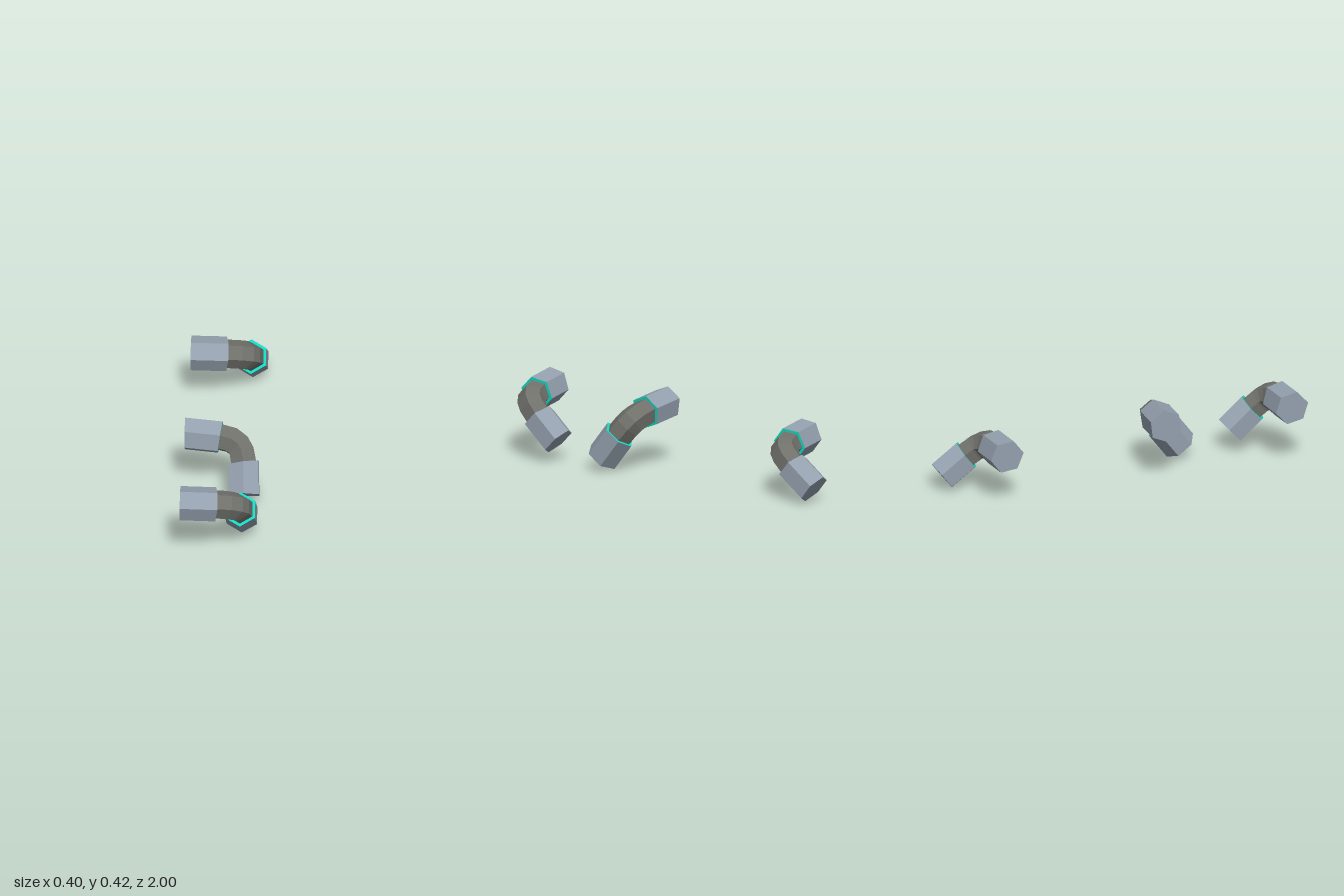
import * as THREE from 'three';

const PIPE = 0.0924, BEND = 0.076;
const material = (name, color) => {
  const m = new THREE.MeshStandardMaterial({ color, flatShading: true });
  m.name = name;
  return m;
};

// Hexagon around (x, y), facing along the tangent angle in degrees
function hexRing(x, y, degrees, radius) {
  const t = THREE.MathUtils.degToRad(degrees);
  return Array.from({ length: 6 }, (_, k) => {
    const a = (k + 0.5) * Math.PI / 3, n = radius * Math.cos(a);
    return new THREE.Vector3(x - n * Math.sin(t), y + n * Math.cos(t), radius * Math.sin(a));
  });
}

// Skin between successive rings, with optional flat ends
function loft(rings, capStart = false, capEnd = false) {
  const points = [];
  for (let i = 0; i < rings.length - 1; i++) {
    const p = rings[i], q = rings[i + 1];
    for (let k = 0; k < 6; k++) {
      const n = (k + 1) % 6;
      points.push(p[k], p[n], q[k], p[n], q[n], q[k]);
    }
  }
  const first = rings[0], last = rings[rings.length - 1];
  for (let k = 1; k < 5; k++) {
    if (capStart) points.push(first[0], first[k + 1], first[k]);
    if (capEnd) points.push(last[0], last[k], last[k + 1]);
  }
  const g = new THREE.BufferGeometry().setFromPoints(points);
  g.computeVertexNormals();
  return g;
}

export function createModel() {
  const model = new THREE.Group();
  model.name = 'bentPipes';
  const steel = material('blueGreySteel', 0x94a0ae);
  const dark = material('darkGrey', 0x70706b);
  const teal = material('brightTeal', 0x12dcc4);

  // Centre line of the elbow: x, y, tangent angle
  const path = [
    [-0.012, 0.016, 8.5], [0.047, 0.030, 25], [0.084, 0.057, 48],
    [0.102, 0.089, 69], [0.1145, 0.150, 82],
  ];
  const start = path[0], end = path[4];

  const parts = [
    ['sideArm', loft([hexRing(-0.2, 0, 0, PIPE), hexRing(...start, PIPE)], true), steel],
    ['sideArmRim', loft([hexRing(...start, PIPE), hexRing(...start, BEND)]), teal],
    ['elbow', loft(path.map((p) => hexRing(...p, BEND))), dark],
    ['lowerArmRim', loft([hexRing(...end, BEND), hexRing(...end, PIPE)]), teal],
    ['lowerArm', loft([hexRing(...end, PIPE), hexRing(0.12, 0.32, 90, PIPE)], false, true), steel],
  ];

  // Each pipe: y, z, and the direction its lower arm points (degrees from +z towards +y)
  const pipes = [
    ['frontPipe', 0.328, 0.91, -137.5],
    ['middlePipe', 0.321, 0.2, -53],
    ['backPipe', 0.268, -0.692, -142.6],
  ];
  for (const [name, y, z, angle] of pipes) {
    const pipe = new THREE.Group();
    pipe.name = name;
    for (const [partName, geometry, mat] of parts) {
      const mesh = new THREE.Mesh(geometry, mat);
      mesh.name = partName;
      pipe.add(mesh);
    }
    pipe.position.set(0, y, z);
    pipe.rotation.x = THREE.MathUtils.degToRad(90 - angle);
    model.add(pipe);
  }
  return model;
}
